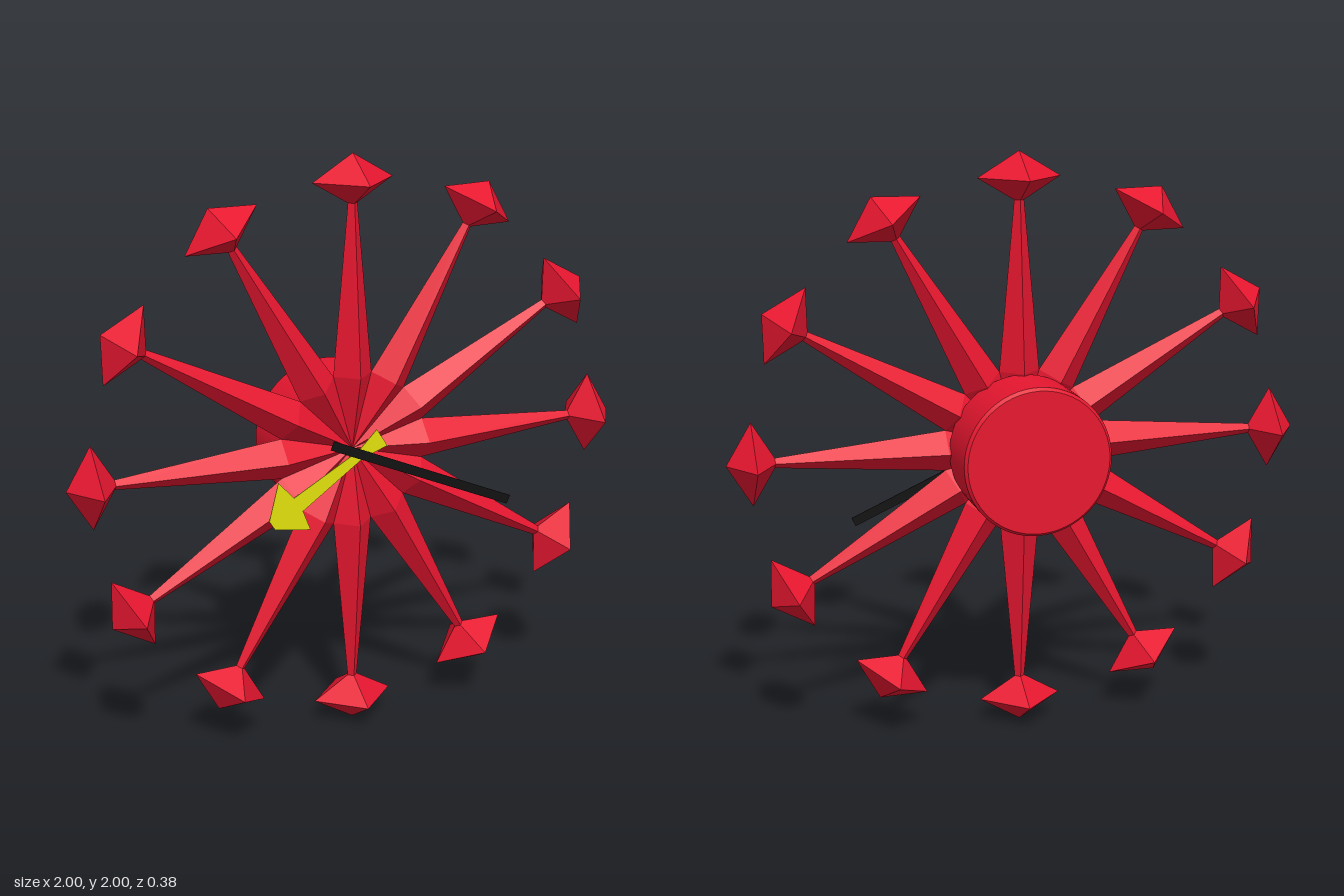
import * as THREE from 'three';
import { toCreasedNormals } from 'three/addons/utils/BufferGeometryUtils.js';

const mat = (color, opts = {}) => new THREE.MeshStandardMaterial({ color, ...opts });

function part(name, geometry, material) {
  const mesh = new THREE.Mesh(geometry, material);
  mesh.name = name;
  return mesh;
}

// Thin flat plate cut from an outline
function plate(points, depth) {
  const shape = new THREE.Shape(points.map(([x, y]) => new THREE.Vector2(x, y)));
  return new THREE.ExtrudeGeometry(shape, { depth, bevelEnabled: false });
}

export function createModel() {
  const clock = new THREE.Group();
  clock.name = 'starburstClock';
  const red = mat(0xe6162f, { flatShading: true });
  const redSmooth = mat(0xe6162f);

  // Four-sided spoke, widest near the hub, and the flattened gem at its end
  const spokeGeo = new THREE.LatheGeometry(
    [[0, 0], [0.07, 0.26], [0.016, 0.85]].map(([r, y]) => new THREE.Vector2(r, y)), 4);
  spokeGeo.scale(1, 1, 0.93);
  const gemGeo = new THREE.OctahedronGeometry(1).scale(0.143, 0.086, 0.133);
  gemGeo.translate(0, 0.914, 0);

  const HOURS = 12;
  for (let i = 0; i < HOURS; i++) {
    const ray = new THREE.Group();
    ray.name = `ray${i + 1}`;
    ray.add(part('spoke', spokeGeo, red), part('gem', gemGeo, red));
    ray.position.set(0, 1, 0.055);
    ray.rotation.z = -i * Math.PI * 2 / HOURS;
    clock.add(ray);
  }

  // Round movement housing behind the rays, with a small bevel at the back
  const profile = [[0, -0.02], [0.254, -0.02], [0.254, 0.179], [0.244, 0.19], [0, 0.19]];
  const housingGeo = toCreasedNormals(new THREE.LatheGeometry(
    profile.map(([r, y]) => new THREE.Vector2(r, y)), 64), 0.5);
  const housing = part('housing', housingGeo, redSmooth);
  housing.rotation.x = -Math.PI / 2;
  housing.position.y = 1;
  clock.add(housing);

  // Hour hand: flared tail, tapered shaft and blunt arrowhead, drawn along +x
  const hourHand = part('hourHand', plate([
    [-0.091, -0.037], [0, -0.016], [0.27, -0.03], [0.284, -0.112], [0.382, -0.019],
    [0.382, 0.019], [0.284, 0.104], [0.27, 0.03], [0, 0.016], [-0.091, 0.037],
  ], 0.003), mat(0xe2e20c));
  hourHand.position.set(0, 1, 0.122);
  hourHand.rotation.z = Math.atan2(-0.53, -0.85);
  clock.add(hourHand);

  // Minute hand: plain bar reaching past the centre
  const minuteHand = part('minuteHand',
    new THREE.BoxGeometry(0.735, 0.032, 0.003).translate(0.25, 0, 0), mat(0x111111));
  minuteHand.position.set(0, 1, 0.13);
  minuteHand.rotation.z = Math.atan2(-0.3, 0.68);
  clock.add(minuteHand);

  return clock;
}
